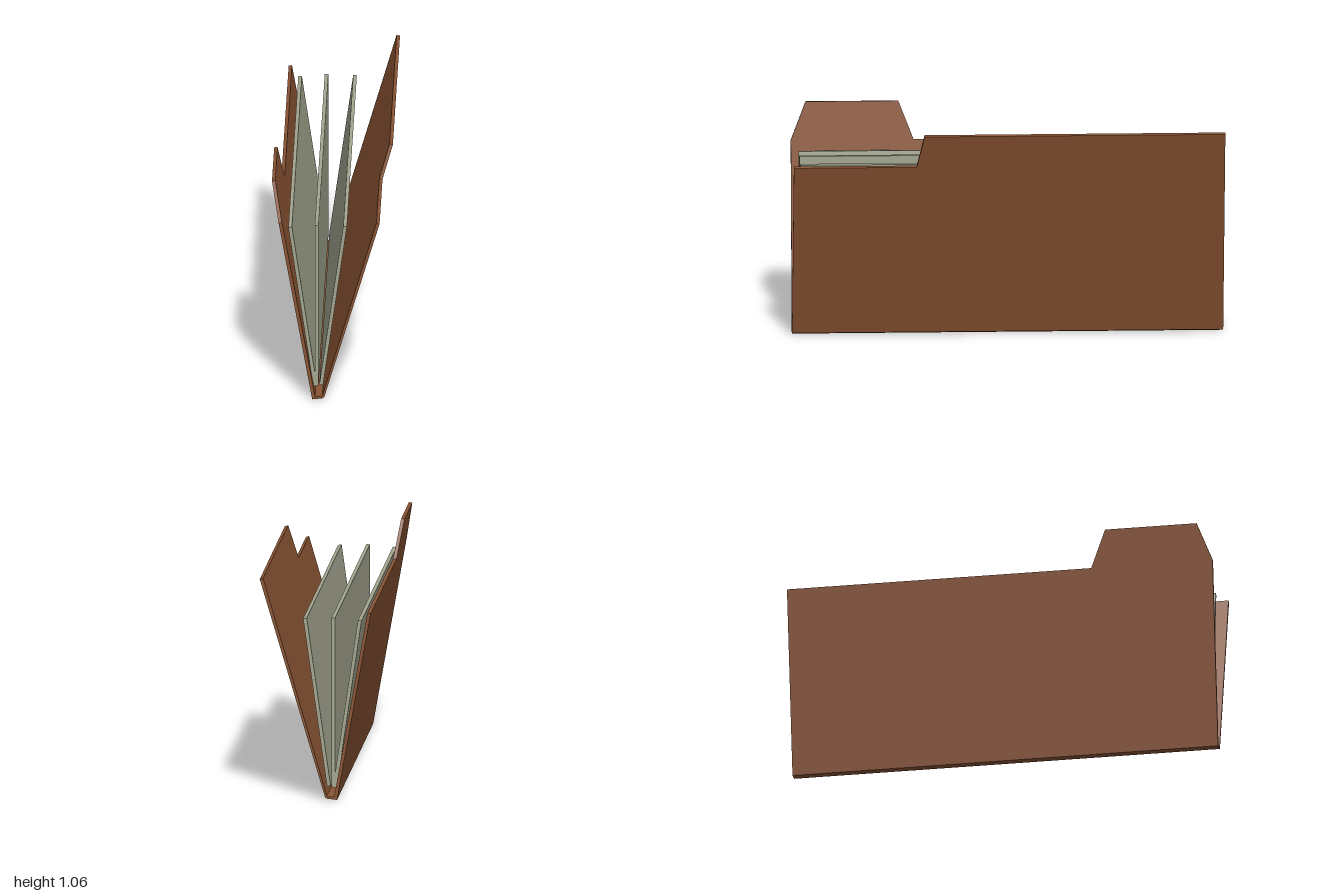
import * as THREE from 'three';

const mat = (name, color) => Object.assign(new THREE.MeshStandardMaterial({ color }), { name });

export function createModel() {
  const group = new THREE.Group();
  const card = mat('brown card', 0x895333);
  const paper = mat('grey green paper', 0xa4a690);

  const add = (name, geometry, material) => {
    const mesh = new THREE.Mesh(geometry, material);
    mesh.name = name;
    group.add(mesh);
    return mesh;
  };

  // Cover: outline of [z, y] points, given thickness and leaned sideways
  const cover = (name, outline, lean) => {
    const shape = new THREE.Shape(outline.map(([z, y]) => new THREE.Vector2(-z, y)));
    const g = new THREE.ExtrudeGeometry(shape, { depth: 1, bevelEnabled: false });
    const p = g.attributes.position;
    for (let i = 0; i < p.count; i++) {
      const [x, y] = lean(p.getY(i), p.getZ(i));
      p.setXYZ(i, x, y, -p.getX(i));
    }
    g.computeVertexNormals();
    add(name, g, card);
  };

  // Tabbed cover on the -x side
  cover('tabbedCover',
    [[1, 0], [1, 0.88], [0.93, 1.057], [0.5, 1.057], [0.43, 0.88], [-1, 0.88], [-1, 0]],
    (y, w) => [-0.087 - 0.178 * y + 0.0155 * w, y + 0.003 * w]);

  // Stepped cover on the +x side, slightly thinner at the fold
  cover('steppedCover',
    [[1, 0.012], [1, 0.88], [0.43, 0.88], [0.395, 1.039], [-1, 1.039], [-1, 0.012]],
    (y, w) => {
      const t = (0.01 + 0.006 * y) * w;
      return [-0.045 + 0.291 * y + 0.96 * t, y - 0.28 * t];
    });

  // Folded spine joining the covers
  const profile = [[-0.087, 0], [-0.06, 0.003], [-0.042, 0.004], [-0.031, 0.014],
    [-0.037, 0.02], [-0.048, 0.014], [-0.08, 0.014]];
  const spine = new THREE.ExtrudeGeometry(
    new THREE.Shape(profile.map(([x, y]) => new THREE.Vector2(x, y))),
    { depth: 2, bevelEnabled: false });
  spine.translate(0, 0, -1);
  add('spine', spine, card);

  // Fanned sheets: bottom and top centres in x, y
  const sheets = [
    [-0.074, 0.053, -0.190, 0.841],
    [-0.067, 0.055, -0.067, 0.852],
    [-0.046, 0.059, 0.065, 0.848],
  ];
  sheets.forEach(([x0, y0, x1, y1], i) => {
    const length = Math.hypot(x1 - x0, y1 - y0);
    const sheet = add('sheet' + (i + 1), new THREE.BoxGeometry(0.017, length, 1.935), paper);
    sheet.position.set((x0 + x1) / 2, (y0 + y1) / 2, -0.002);
    sheet.rotation.z = -Math.atan2(x1 - x0, y1 - y0);
  });

  return group;
}
